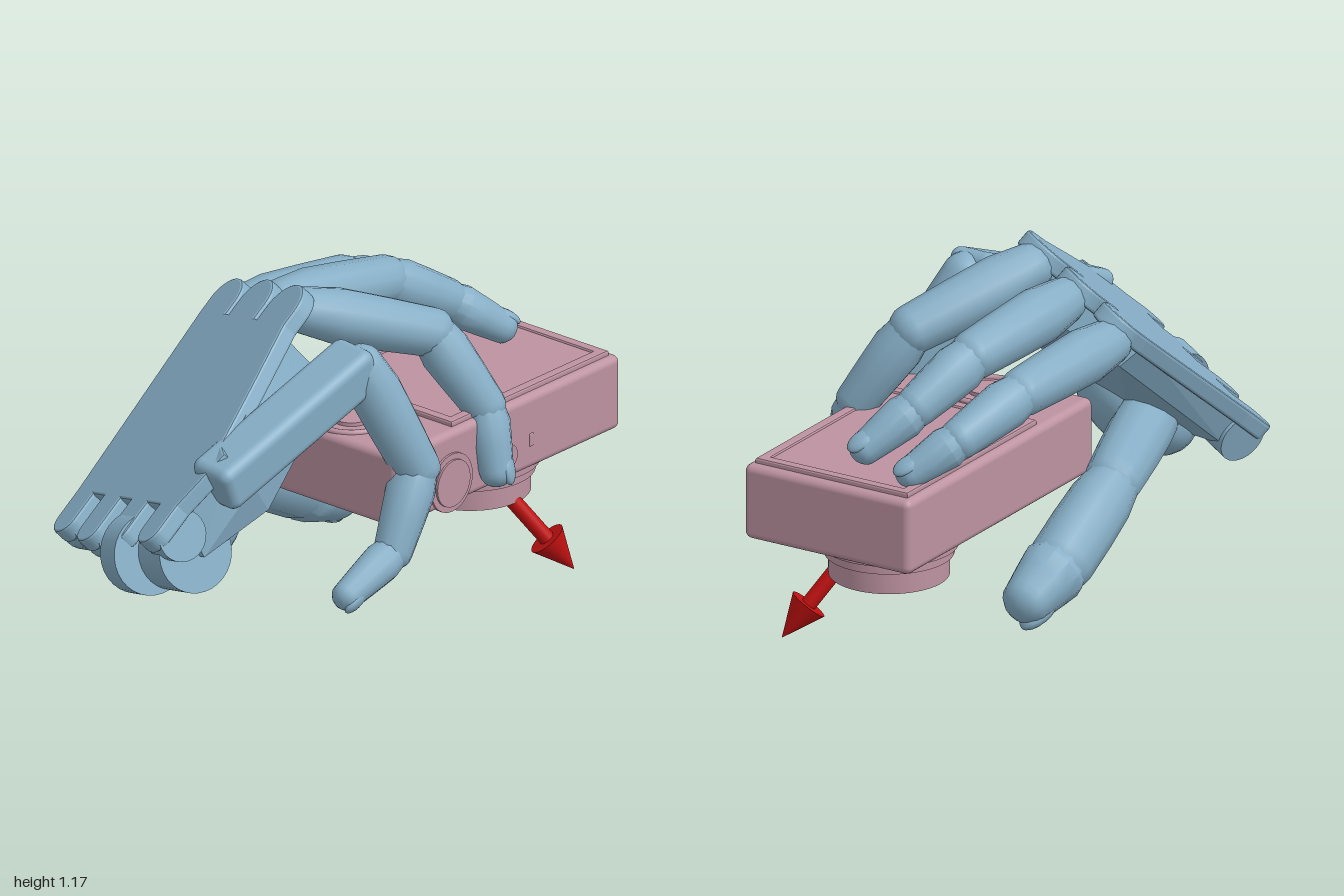
import * as THREE from 'three';
import { RoundedBoxGeometry } from 'three/addons/geometries/RoundedBoxGeometry.js';
import { ConvexGeometry } from 'three/addons/geometries/ConvexGeometry.js';
import { toCreasedNormals } from 'three/addons/utils/BufferGeometryUtils.js';

const blue = new THREE.MeshStandardMaterial({ color: 0x86aec6 });
const pink = new THREE.MeshStandardMaterial({ color: 0xbd93a1 });
const red = new THREE.MeshStandardMaterial({ color: 0xc01010 });
const V = (p) => new THREE.Vector3(...p);
const UP = new THREE.Vector3(0, 1, 0);

function add(parent, name, geometry, material, pos = [0, 0, 0]) {
  const mesh = new THREE.Mesh(geometry, material);
  mesh.name = name;
  mesh.position.set(...pos);
  parent.add(mesh);
  return mesh;
}

// Tapered link from a to b: rounded ends, slim neck at the start, widest near a third
function link(parent, name, a, b, ra, rb, neck = 0.88) {
  const len = V(a).distanceTo(V(b));
  const pts = [];
  for (let i = 0; i <= 5; i++) {
    const t = (i / 5 - 1) * Math.PI / 2;
    pts.push(new THREE.Vector2(ra * neck * Math.cos(t), ra * 0.9 * Math.sin(t)));
  }
  pts.push(new THREE.Vector2(ra * 1.04, len * 0.25), new THREE.Vector2((ra + rb) * 0.52, len * 0.6));
  for (let i = 0; i <= 5; i++) {
    const t = (i / 5) * Math.PI / 2;
    pts.push(new THREE.Vector2(rb * Math.cos(t), len + rb * 0.9 * Math.sin(t)));
  }
  pts[0].x = pts[pts.length - 1].x = 0;
  const mesh = add(parent, name, toCreasedNormals(new THREE.LatheGeometry(pts, 12), 0.6), blue, a);
  mesh.quaternion.setFromUnitVectors(UP, V(b).sub(V(a)).normalize());
}

// Chain of links; outward is the side of the tip that carries the nail
function finger(parent, name, joints, radii, outward) {
  const g = new THREE.Group();
  g.name = name;
  parent.add(g);
  const last = joints.length - 2;
  for (let i = 0; i <= last; i++)
    link(g, i === last ? 'fingertip' : 'fingerLink', joints[i], joints[i + 1], radii[i], radii[i + 1]);
  const r = radii[last + 1];
  const dir = V(joints[last + 1]).sub(V(joints[last])).normalize();
  const n = V(outward).addScaledVector(dir, -dir.dot(V(outward))).normalize();
  const p = V(joints[last + 1]).addScaledVector(n, r * 0.7).addScaledVector(dir, -r * 0.1);
  const nail = add(g, 'nail', new THREE.SphereGeometry(1, 16, 10), blue, p.toArray());
  nail.quaternion.setFromRotationMatrix(new THREE.Matrix4().makeBasis(dir.clone().cross(n), dir, n));
  nail.scale.set(r * 0.68, r * 1.0, r * 0.38);
}

function buildHand() {
  const hand = new THREE.Group();
  hand.name = 'hand';

  // Palm frame: x across the knuckles, y from wrist to knuckles, z out of the back
  const palm = new THREE.Group();
  palm.name = 'palm';
  const u = V([0.773, 0.627, 0.094]).normalize();
  const n = V([-0.27, 0.338, 0.901]).cross(u).normalize();
  palm.quaternion.setFromRotationMatrix(new THREE.Matrix4().makeBasis(u.clone().cross(n), u, n));
  palm.position.set(-0.74, 0.42, -0.49);
  hand.add(palm);

  // Back plate with slotted, rounded prongs at both ends
  const wristProngs = [[0.05, 0.01], [0.24, -0.01], [0.43, 0], [0.63, 0.02]];
  const outline = new THREE.Shape();
  outline.moveTo(0, 0.12);
  for (const [c, s] of wristProngs) {
    outline.lineTo(c - 0.05, 0.12);
    outline.absarc(c, s, 0.05, Math.PI, Math.PI * 2, false);
    outline.lineTo(c + 0.05, 0.12);
  }
  outline.lineTo(0.74, 0.33);
  outline.lineTo(0.68, 0.36);
  outline.lineTo(0.6, 0.6);
  for (const [c, s, hw] of [[0.425, 0.9, 0.09], [0.215, 0.91, 0.082], [0.02, 0.9, 0.078]]) {
    outline.lineTo(c + hw, 0.84);
    outline.absarc(c, s, hw, 0, Math.PI, false);
    outline.lineTo(c - hw, 0.84);
  }
  const bevel = { bevelThickness: 0.01, bevelSize: 0.008, bevelSegments: 2, curveSegments: 10 };
  add(palm, 'backPlate', new THREE.ExtrudeGeometry(outline, { depth: 0.04, ...bevel }), blue, [0, 0, -0.05]);

  // Palm under the plate, deeper toward the front side
  const body = [[0.01, 0.13, -0.03], [-0.05, 0.82, -0.03], [0.5, 0.82, -0.03], [0.72, 0.33, -0.03], [0.66, 0.13, -0.03],
    [0.02, 0.08, -0.14], [-0.03, 0.82, -0.13], [0.47, 0.82, -0.19], [0.57, 0.6, -0.28], [0.62, 0.33, -0.3],
    [0.71, 0.33, -0.17], [0.66, 0.06, -0.2], [0.3, 0.2, -0.27]];
  add(palm, 'palmBody', new ConvexGeometry(body.map(V)), blue);

  // Wrist: one rounded fin under each prong, a pin through them, and a large hub
  for (const [name, r, w, x, y, z] of [
    ...wristProngs.map(([c, s]) => ['wristFin', 0.085, 0.1, c, s + 0.04, -0.085]),
    ['wristPin', 0.045, 0.6, 0.34, 0.04, -0.09],
    ['wristHub', 0.135, 0.1, 0.43, 0.0, -0.125],
    ['wristBarrel', 0.13, 0.34, 0.46, 0.06, -0.18]]) {
    const disc = add(palm, name, new THREE.CylinderGeometry(r, r, w, 32), blue, [x, y, z]);
    disc.rotation.z = Math.PI / 2;
  }
  const mound = add(palm, 'thumbMound', new THREE.SphereGeometry(1, 24, 16), blue, [0.33, 0.19, -0.21]);
  mound.scale.set(0.24, 0.21, 0.16);

  // Separate outer metacarpal along the front side
  const a = V([-0.77, 0.725, 0.19]), b = V([-0.12, 0.985, 0.265]);
  const dir = b.clone().sub(a).normalize();
  const side = V([0, 0, 1]).addScaledVector(dir, -dir.z).normalize();
  const outer = add(hand, 'outerMetacarpal', new RoundedBoxGeometry(a.distanceTo(b), 0.16, 0.17, 3, 0.035), blue,
    a.clone().add(b).multiplyScalar(0.5).toArray());
  outer.quaternion.setFromRotationMatrix(new THREE.Matrix4().makeBasis(dir, side.clone().cross(dir), side));

  // Fingers from the front side to the back side
  finger(hand, 'frontFinger', [[-0.14, 0.97, 0.28], [-0.01, 0.61, 0.4], [-0.15, 0.37, 0.42], [-0.37, 0.285, 0.415]],
    [0.085, 0.078, 0.064, 0.05], [0.3, -0.5, 0.8]);
  finger(hand, 'secondFinger', [[-0.09, 1.07, 0.0], [0.28, 0.935, 0.21], [0.37, 0.69, 0.36], [0.345, 0.49, 0.43]],
    [0.09, 0.082, 0.07, 0.056], [0.5, 0.2, 0.9]);
  finger(hand, 'thirdFinger', [[0.0, 1.02, -0.18], [0.44, 0.97, -0.125], [0.66, 0.85, -0.05], [0.81, 0.735, 0.05]],
    [0.09, 0.082, 0.07, 0.054], [0.6, 0.8, 0.1]);
  finger(hand, 'fourthFinger', [[0.03, 0.93, -0.375], [0.48, 0.9, -0.335], [0.74, 0.81, -0.265], [0.87, 0.715, -0.16]],
    [0.088, 0.08, 0.068, 0.052], [0.6, 0.8, 0.1]);

  // Thumb reaching under the camera
  link(hand, 'thumbBase', [-0.45, 0.48, -0.22], [-0.06, 0.425, -0.34], 0.1, 0.095, 1);
  finger(hand, 'thumb', [[-0.06, 0.42, -0.34], [0.26, 0.25, -0.345], [0.425, 0.17, -0.325]],
    [0.1, 0.108, 0.085], [0.3, -0.9, -0.2]);
  return hand;
}

function buildCamera() {
  const cam = new THREE.Group();
  cam.name = 'camera';
  add(cam, 'cameraBody', new RoundedBoxGeometry(1.1, 0.255, 0.63, 3, 0.025), pink, [0.45, 0.545, 0.075]);
  add(cam, 'bottomRail', new THREE.BoxGeometry(0.22, 0.02, 0.1), pink, [0.83, 0.415, 0.3]);

  // Screen with a raised rim
  const rect = (s, w, h) => {
    s.moveTo(-w, -h); s.lineTo(w, -h); s.lineTo(w, h); s.lineTo(-w, h); s.closePath();
    return s;
  };
  const rim = rect(new THREE.Shape(), 0.375, 0.28);
  rim.holes.push(rect(new THREE.Path(), 0.355, 0.26));
  const rimMesh = add(cam, 'screenRim', new THREE.ExtrudeGeometry(rim,
    { depth: 0.02, bevelThickness: 0.006, bevelSize: 0.008, bevelSegments: 2 }), pink, [0.585, 0.664, 0.075]);
  rimMesh.rotation.x = -Math.PI / 2;
  add(cam, 'screen', new THREE.BoxGeometry(0.72, 0.02, 0.53), pink, [0.585, 0.672, 0.075]);

  // Control dial and button on the top
  const ring = add(cam, 'dialRing', new THREE.TorusGeometry(0.115, 0.012, 8, 40), pink, [0.04, 0.673, 0.08]);
  ring.rotation.x = Math.PI / 2;
  add(cam, 'dialCentre', new THREE.CylinderGeometry(0.06, 0.06, 0.02, 32), pink, [0.04, 0.675, 0.08]);
  add(cam, 'button', new THREE.CylinderGeometry(0.033, 0.033, 0.02, 24), pink, [0.1, 0.678, 0.28]);

  // Round controls and a small window on the front
  for (const [x, y, r, d] of [[0.165, 0.5, 0.1, 0.02], [0.165, 0.5, 0.08, 0.035], [0.44, 0.5, 0.042, 0.025]]) {
    const disc = add(cam, 'frontDial', new THREE.CylinderGeometry(r, r, d, 36), pink, [x, y, 0.388]);
    disc.rotation.x = Math.PI / 2;
  }
  add(cam, 'frontWindow', new RoundedBoxGeometry(0.02, 0.045, 0.01, 2, 0.004), pink, [0.56, 0.52, 0.389]);

  // Telescoping lens pointing down, open at the front
  const tiers = [[0.28, 0.42, 0.405], [0.245, 0.405, 0.39], [0.225, 0.41, 0.35], [0.21, 0.36, 0.318]];
  for (const [r, top, bottom] of tiers)
    add(cam, 'lensTier', new THREE.CylinderGeometry(r, r, top - bottom, 48), pink, [0.625, (top + bottom) / 2, 0.075]);
  const barrel = new THREE.Shape().absarc(0, 0, 0.195, 0, Math.PI * 2);
  barrel.holes.push(rect(new THREE.Path(), 0.085, 0.06));
  const front = add(cam, 'lensBarrel', toCreasedNormals(new THREE.ExtrudeGeometry(barrel,
    { depth: 0.08, bevelEnabled: false, curveSegments: 24 }), 0.6), pink, [0.625, 0.325, 0.075]);
  front.rotation.x = Math.PI / 2;
  return cam;
}

function buildArrow() {
  const arrow = new THREE.Group();
  arrow.name = 'arrow';
  const tip = V([0.77, 0.0, 0.39]), start = V([0.602, 0.3, 0.216]);
  const len = tip.distanceTo(start);
  add(arrow, 'arrowShaft', new THREE.CylinderGeometry(0.026, 0.026, len - 0.13, 24), red, [0, (len - 0.13) / 2, 0]);
  add(arrow, 'arrowHead', new THREE.ConeGeometry(0.064, 0.14, 32), red, [0, len - 0.07, 0]);
  arrow.position.copy(start);
  arrow.quaternion.setFromUnitVectors(UP, tip.sub(start).normalize());
  return arrow;
}

export function createModel() {
  const model = new THREE.Group();
  model.name = 'handHoldingCamera';
  model.add(buildHand(), buildCamera(), buildArrow());
  return model;
}
